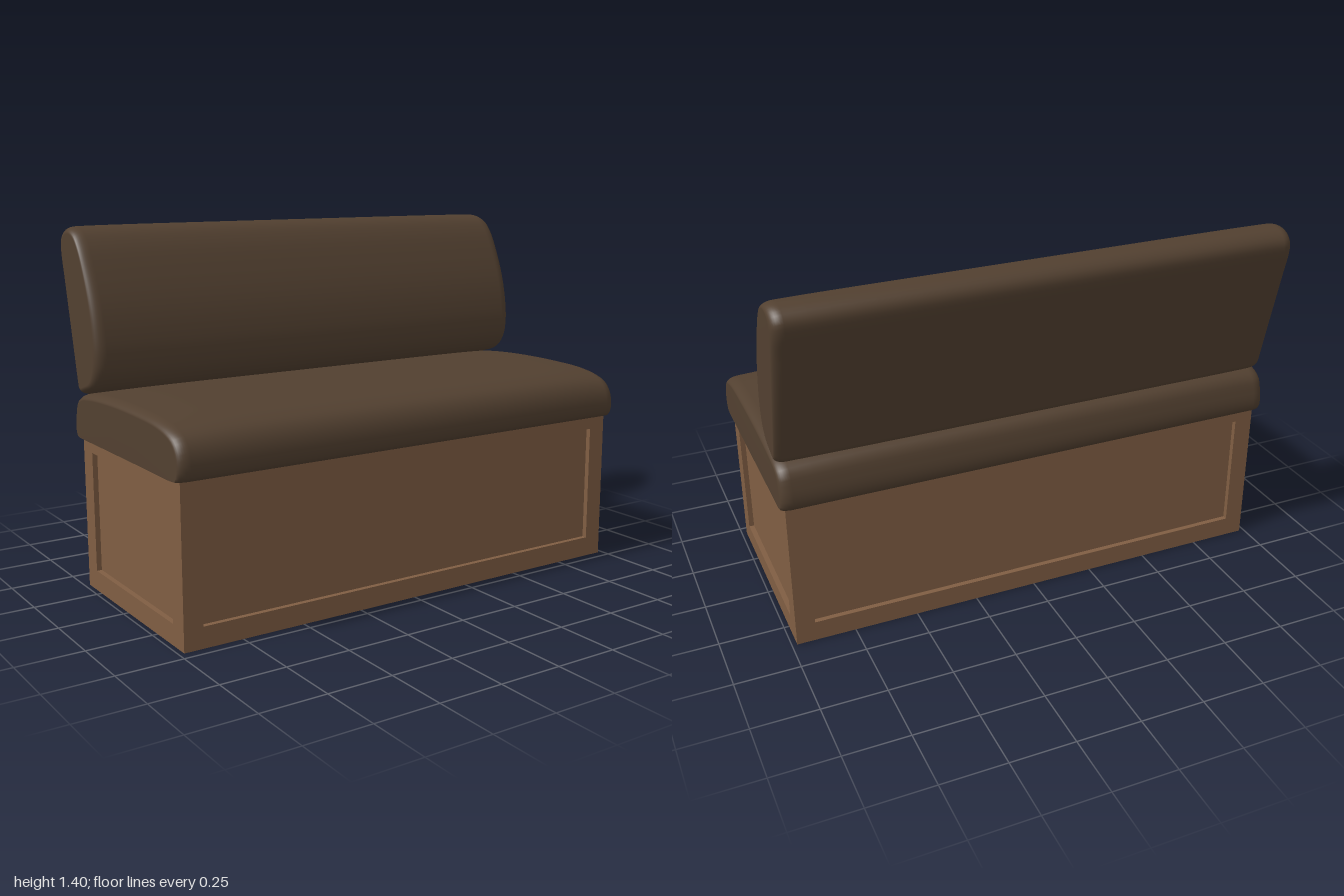
import * as THREE from 'three';

const wood = new THREE.MeshStandardMaterial({ color: 0x805e43 });
wood.name = 'wood';
const upholstery = new THREE.MeshStandardMaterial({ color: 0x524030 });
upholstery.name = 'dark brown upholstery';

// Base limits, panel recess depth and frame border
const HALF_W = 0.98, HEIGHT = 0.6, BACK = -0.37, FRONT = 0.46;
const RECESS = 0.02, MID_Z = (FRONT + BACK) / 2;

function addMesh(parent, name, geometry, material) {
  const mesh = new THREE.Mesh(geometry, material);
  mesh.name = name;
  parent.add(mesh);
  return mesh;
}

// Flat frame with a rectangular opening, extruded towards +z
function frameGeometry(outerHalf, innerHalf) {
  const shape = new THREE.Shape([
    new THREE.Vector2(-outerHalf, 0), new THREE.Vector2(outerHalf, 0),
    new THREE.Vector2(outerHalf, HEIGHT), new THREE.Vector2(-outerHalf, HEIGHT),
  ]);
  shape.holes.push(new THREE.Path([
    new THREE.Vector2(-innerHalf, 0.08), new THREE.Vector2(-innerHalf, 0.55),
    new THREE.Vector2(innerHalf, 0.55), new THREE.Vector2(innerHalf, 0.08),
  ]));
  return new THREE.ExtrudeGeometry(shape, { depth: RECESS, bevelEnabled: false });
}

// Cushion: closed [z, y] profile swept along x, drawn in softly at both ends
function cushionGeometry(profile, anchor, shrinkZ, shrinkY, crown) {
  const curve = new THREE.CatmullRomCurve3(
    profile.map(([z, y]) => new THREE.Vector3(0, y, z)), true, 'centripetal');
  const ring = curve.getSpacedPoints(96).slice(0, 96);
  const n = ring.length, radius = 0.045, stations = [];
  for (let i = 0; i <= 8; i++) {
    const a = (i / 8) * Math.PI / 2;
    stations.push([-1 + radius * (1 - Math.sin(a)), 1 - Math.cos(a)]);
  }
  const right = stations.map(([x, s]) => [-x, s]).reverse();
  stations.reverse();
  for (let i = 1; i < 24; i++) stations.push([(-1 + radius) * (1 - i / 12), 0]);
  stations.push(...right);
  // Order every station from -x to +x
  stations.sort((a, b) => a[0] - b[0]);

  const pos = [], index = [];
  for (const [x, s] of stations) {
    const sz = 1 - shrinkZ * s;
    const sy = 1 - shrinkY * s - crown * Math.pow(Math.abs(x), 8);
    for (const p of ring) {
      pos.push(x, anchor[1] + (p.y - anchor[1]) * sy, anchor[0] + (p.z - anchor[0]) * sz);
    }
  }
  for (let i = 0; i < stations.length - 1; i++) {
    for (let j = 0; j < n; j++) {
      const a = i * n + j, b = i * n + (j + 1) % n;
      index.push(a, a + n, b, b, a + n, b + n);
    }
  }
  // End caps
  const last = (stations.length - 1) * n;
  const cap = pos.length / 3;
  const capY = anchor[1] + (profile.reduce((t, p) => t + p[1], 0) / profile.length - anchor[1]) * 0.9;
  pos.push(-1, capY, anchor[0], 1, capY, anchor[0]);
  for (let j = 0; j < n; j++) {
    const k = (j + 1) % n;
    index.push(cap, j, k, cap + 1, last + k, last + j);
  }
  const geometry = new THREE.BufferGeometry();
  geometry.setAttribute('position', new THREE.Float32BufferAttribute(pos, 3));
  geometry.setIndex(index);
  geometry.computeVertexNormals();
  return geometry;
}

export function createModel() {
  const bench = new THREE.Group();
  bench.name = 'bench';

  // Wooden box base with a recessed panel on every side
  const base = new THREE.Group();
  base.name = 'base';
  bench.add(base);
  const depth = FRONT - BACK;
  const core = addMesh(base, 'basePanels',
    new THREE.BoxGeometry(2 * (HALF_W - RECESS), HEIGHT, depth - 2 * RECESS), wood);
  core.position.set(0, HEIGHT / 2, MID_Z);

  const longFrame = frameGeometry(HALF_W, 0.905);
  const shortFrame = frameGeometry(depth / 2 - RECESS, 0.335);
  addMesh(base, 'frontFrame', longFrame, wood).position.z = FRONT - RECESS;
  const backFrame = addMesh(base, 'backFrame', longFrame, wood);
  backFrame.position.z = BACK + RECESS;
  backFrame.rotation.y = Math.PI;
  for (const side of [1, -1]) {
    const frame = addMesh(base, side > 0 ? 'leftFrame' : 'rightFrame', shortFrame, wood);
    frame.position.set(side * (HALF_W - RECESS), 0, MID_Z);
    frame.rotation.y = side * Math.PI / 2;
  }

  // Seat cushion with a flat underside and crowned top
  const seatProfile = [
    [0.46, 0.6], [0.483, 0.604], [0.495, 0.625], [0.499, 0.665], [0.488, 0.715],
    [0.46, 0.753], [0.41, 0.777], [0.32, 0.795], [0.18, 0.803], [0, 0.805],
    [-0.15, 0.8], [-0.27, 0.79], [-0.35, 0.775], [-0.385, 0.75], [-0.4, 0.705],
    [-0.409, 0.655], [-0.405, 0.615], [-0.393, 0.602], [-0.37, 0.6], [-0.2, 0.6],
    [0, 0.6], [0.25, 0.6],
  ];
  addMesh(bench, 'seatCushion',
    cushionGeometry(seatProfile, [0.045, 0.6], 0.05, 0.1, 0.06), upholstery);

  // Leaning back cushion with a bulging front and straight rear
  const backProfile = [
    [-0.34, 0.768], [-0.3, 0.777], [-0.22, 0.806], [-0.18, 0.86], [-0.168, 0.93],
    [-0.176, 1.02], [-0.2, 1.12], [-0.246, 1.235], [-0.302, 1.337], [-0.35, 1.386],
    [-0.41, 1.404], [-0.465, 1.393], [-0.495, 1.362], [-0.496, 1.32], [-0.47, 1.22],
    [-0.432, 1.075], [-0.394, 0.93], [-0.36, 0.8], [-0.352, 0.775],
  ];
  addMesh(bench, 'backCushion',
    cushionGeometry(backProfile, [-0.33, 1.085], 0.2, 0.08, 0.01), upholstery);

  return bench;
}
